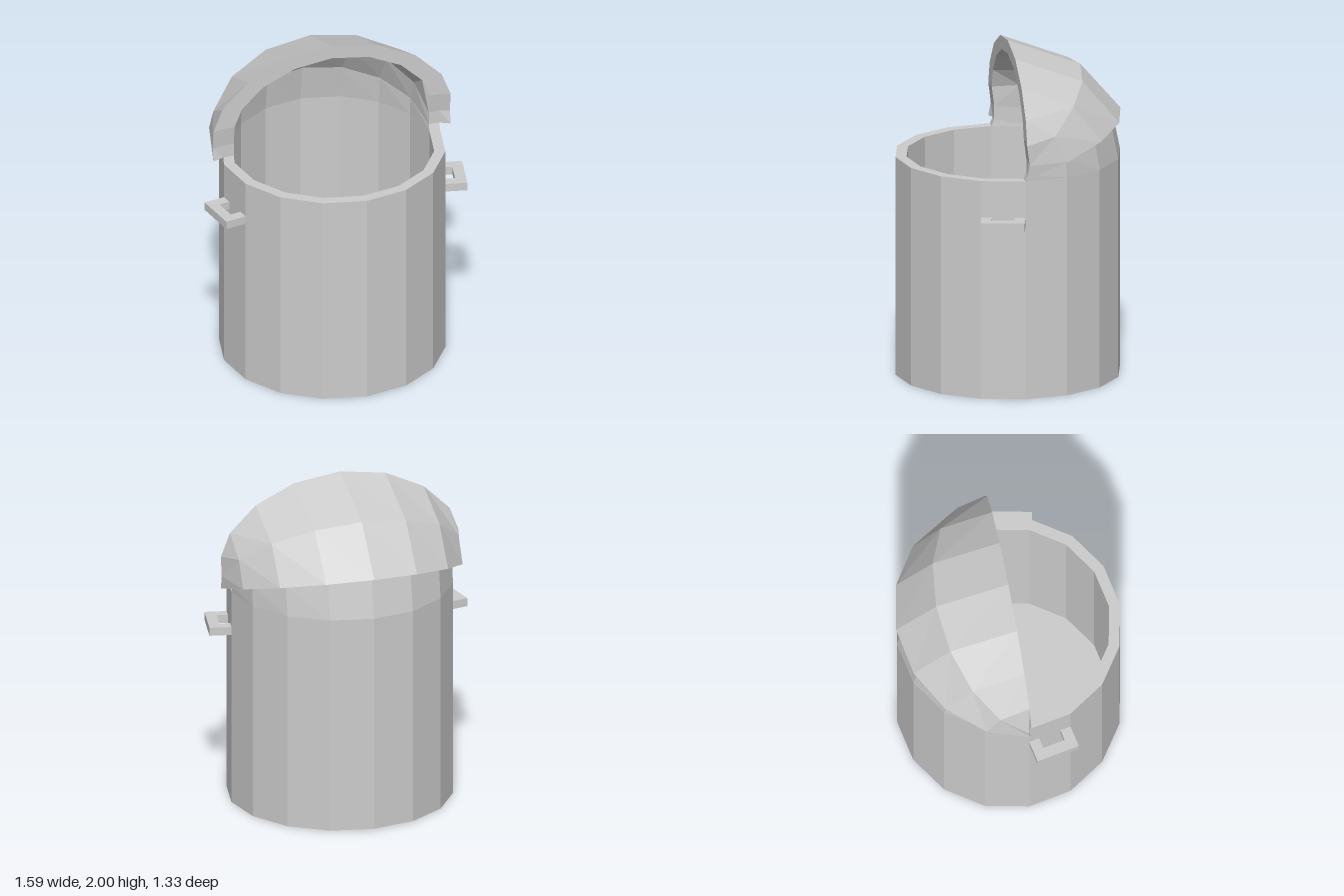
import * as THREE from 'three';

const mat = new THREE.MeshStandardMaterial({ color: 0xcccccc, flatShading: true, side: THREE.DoubleSide });
const RIM = 1.32, SIDES = 16, R_OUT = 0.665, R_IN = 0.6;

// Surface through rows of points that all have the same length
function loft(rows, name) {
  const n = rows[0].length, pos = rows.flat(2), idx = [];
  for (let j = 0; j < rows.length - 1; j++) {
    for (let i = 0; i < n - 1; i++) {
      const a = j * n + i, b = a + n;
      idx.push(a, b, a + 1, a + 1, b, b + 1);
    }
  }
  let g = new THREE.BufferGeometry();
  g.setAttribute('position', new THREE.Float32BufferAttribute(pos, 3));
  g.setIndex(idx);
  g = g.toNonIndexed();
  g.computeVertexNormals();
  const mesh = new THREE.Mesh(g, mat);
  mesh.name = name;
  return mesh;
}

// One rib of a hood, running from the +x side over the back to the -x side.
// y0: height at the sides, y1: height in the middle, z1: depth in the middle
function rib(radius, y0, y1, z1, power = 1, z0 = 0) {
  const row = [];
  for (let i = 0; i <= SIDES / 2; i++) {
    const t = (i / SIDES) * Math.PI * 2, s = Math.max(0, Math.sin(t));
    row.push([
      radius * Math.cos(t),
      RIM + y0 + (y1 - y0) * Math.pow(s, power),
      z0 + (z1 - z0) * s,
    ]);
  }
  return row;
}

// Open front edge of a hood: up one side, along the top rib, down the other
function border(rows) {
  const last = rows[0].length - 1, top = rows[rows.length - 1];
  const low = rows.slice(0, -1);
  return [...low.map((r) => r[0]), ...top, ...low.map((r) => r[last]).reverse()];
}

export function createModel() {
  const model = new THREE.Group();

  // Hollow sixteen-sided bin with a floor
  const profile = [[0, 0], [R_OUT, 0], [R_OUT, RIM], [R_IN, RIM], [R_IN, 0.06], [0, 0.06]]
    .map(([x, y]) => new THREE.Vector2(x, y));
  const body = new THREE.Mesh(new THREE.LatheGeometry(profile, SIDES), mat);
  body.name = 'binBody';
  model.add(body);

  // Half dome over the back of the bin, with an inner and an outer skin
  const inner = [
    rib(R_IN, 0, 0, -R_IN),
    rib(R_IN, 0.04, 0.23, -0.56, 1, -0.015),
    rib(R_IN, 0.12, 0.47, -0.39, 1, -0.015),
    rib(R_IN, 0.24, 0.6, 0, 1.2),
  ];
  const outer = [
    rib(R_OUT, 0, 0, -R_OUT),
    rib(R_OUT, 0.04, 0.25, -0.615, 1, -0.015),
    rib(R_OUT, 0.12, 0.49, -0.405, 1, -0.015),
    rib(R_OUT, 0.24, 0.65, 0, 1.2),
  ];
  const dome = new THREE.Group();
  dome.name = 'dome';
  dome.add(
    loft([...inner].reverse(), 'domeInside'),
    loft(outer, 'domeOutside'),
    loft([border(inner), border(outer)], 'domeFrontEdge'),
  );
  model.add(dome);

  // Wider visor lid lying over the dome
  const lidRows = [
    rib(0.73, 0.03, 0.245, -0.668),
    rib(0.73, 0.11, 0.52, -0.43, 1, -0.015),
    rib(0.73, 0.23, 0.68, 0, 1.2),
  ];
  const lid = new THREE.Group();
  lid.name = 'lid';
  lid.add(
    loft(lidRows, 'lidShell'),
    loft([outer[1], lidRows[0]], 'lidUnderside'),
    loft([border(outer.slice(1)), border(lidRows)], 'lidFrontEdge'),
  );
  model.add(lid);

  // Square U-shaped handles, each set on one flat side of the bin
  const facet = R_OUT * Math.cos(Math.PI / SIDES);
  const u = new THREE.Shape([
    [-0.01, -0.13], [0.13, -0.13], [0.13, 0.13], [-0.01, 0.13],
    [-0.01, 0.067], [0.065, 0.067], [0.065, -0.067], [-0.01, -0.067],
  ].map(([x, y]) => new THREE.Vector2(x, y)));
  const handleGeo = new THREE.ExtrudeGeometry(u, { depth: 0.05, bevelEnabled: false });
  handleGeo.rotateX(-Math.PI / 2).translate(facet, 1.05, 0);
  for (const side of [1, -1]) {
    const handle = new THREE.Mesh(handleGeo, mat);
    handle.name = side > 0 ? 'leftHandle' : 'rightHandle';
    const turn = Math.PI / SIDES;
    handle.rotation.y = side > 0 ? -turn : Math.PI + turn;
    model.add(handle);
  }
  return model;
}
